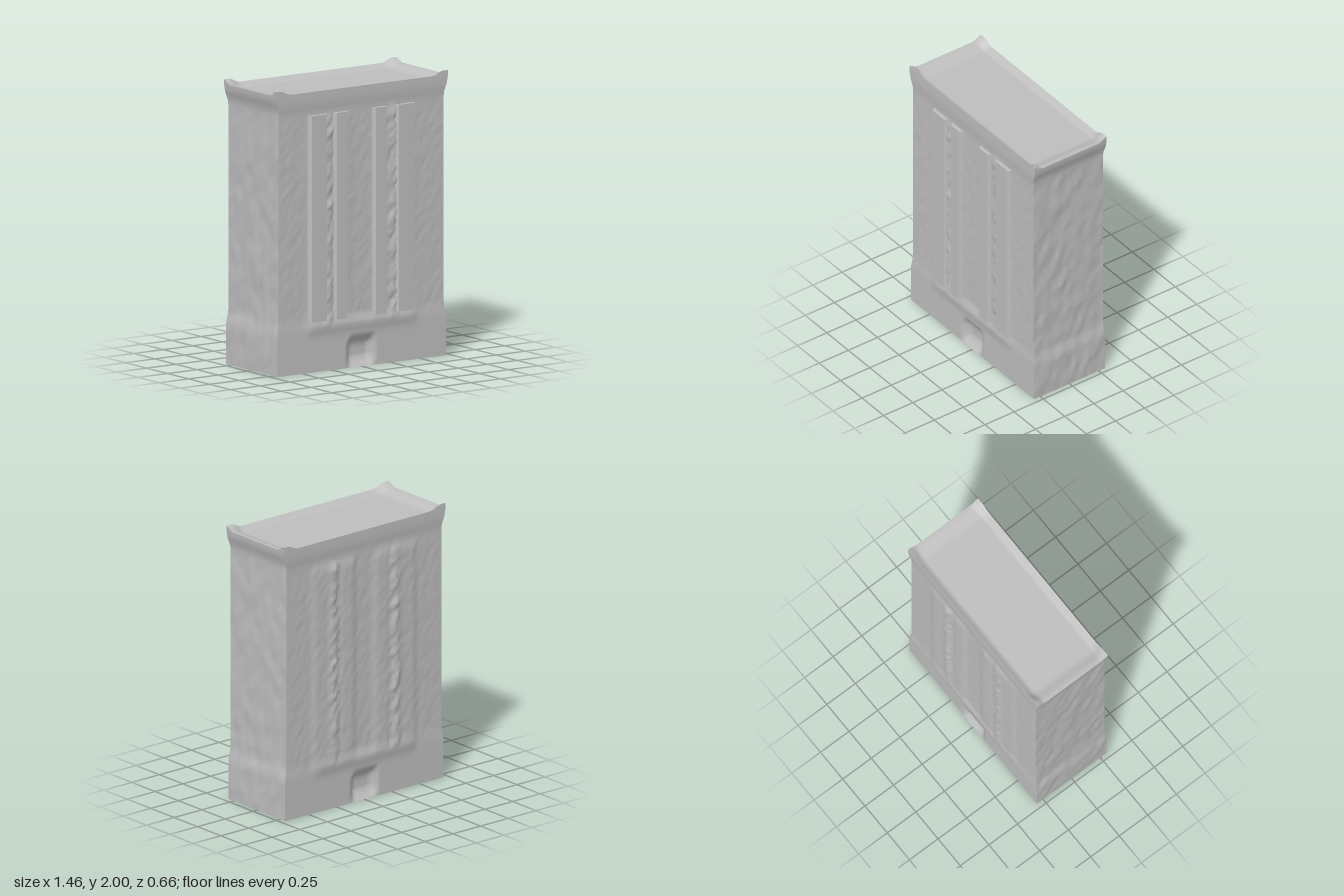
import * as THREE from 'three';

const stone = new THREE.MeshStandardMaterial({ color: 0xbebebe, side: THREE.DoubleSide });
stone.name = 'grey stone';

const smooth = (x, a, b) => THREE.MathUtils.smoothstep(x, a, b);
const hash = (a, b) => {
  const s = Math.sin(a * 127.1 + b * 311.7) * 43758.5453;
  return s - Math.floor(s);
};
// 1 inside a..b, fading to 0 over f on both sides
const band = (x, a, b, f) => smooth(x, a - f, a) * (1 - smooth(x, b, b + f));

// Outline of the shell: plinth, shaft and flared cornice
const halfWidth = y => 0.7 + 0.015 * (1 - smooth(y, 0.28, 0.38)) + 0.03 * smooth(y, 1.84, 1.95);
const halfDepth = y => 0.298 + 0.006 * (1 - smooth(y, 0.28, 0.38)) + 0.008 * smooth(y, 1.82, 1.9);
// Raised roof corners
const lift = (x, z) => 0.03 * smooth(Math.abs(x), 0.6, 0.69) * smooth(Math.abs(z), 0.25, 0.3);

const TOP = 1.97;

// Grid of u, v in -1..1 moved by a rule
function panel(name, nu, nv, rule) {
  const geo = new THREE.PlaneGeometry(2, 2, nu, nv);
  const pos = geo.attributes.position;
  for (let i = 0; i < pos.count; i++) {
    pos.setXYZ(i, ...rule(pos.getX(i), pos.getY(i)));
  }
  geo.computeVertexNormals();
  const mesh = new THREE.Mesh(geo, stone);
  mesh.name = name;
  return mesh;
}

// Weathered relief of the two broad walls, with the doorway sunk in
function broadRelief(x, y, seed, back) {
  const a = Math.abs(x);
  const shaft = band(y, 0.36, 1.76, 0.04);
  const n = hash(Math.round(x * 200) + seed, Math.round(y * 200));
  let d = shaft * band(a, 0, 0.66, 0.04) * (n - 0.5) * 0.005;
  d += shaft * band(a, 0.25, 0.29, 0.025) * (n * 0.02 + (back ? 0.005 : 0));
  d += shaft * band(a, 0.11, 0.2, 0.04) * (back ? 0.012 : 0.004);
  d += shaft * band(a, 0.3, 0.44, 0.04) * (back ? 0.01 : 0.002);
  d += band(y, 0.3, 0.33, 0.04) * band(a, 0, 0.4, 0.1) * 0.013;
  d -= band(x, -0.085, 0.08, 0.03) * band(y, 0.05, 0.17, 0.04) * 0.045;
  return d;
}

function broadWall(name, side) {
  return panel(name, 60, 64, (u, v) => {
    const y = (v + 1) / 2 * TOP;
    const x = u * side * halfWidth(y);
    const z = side * halfDepth(y);
    const d = broadRelief(x, y, side * 7, side < 0);
    return [x, y + lift(x, z) * smooth(y, 1.9, TOP), z + side * d];
  });
}

// Narrow walls carry rows of small rough blocks
function narrowWall(name, side) {
  return panel(name, 18, 56, (u, v) => {
    const y = (v + 1) / 2 * TOP;
    const z = -u * side * halfDepth(y);
    const x = side * halfWidth(y);
    const edge = band(u, -0.9, 0.9, 0.1) * band(y, 0.05, 1.78, 0.04);
    const col = Math.round((u + 1) * 9);
    const row = Math.round((v + 1) * 28);
    const n = hash(col + side * 5, Math.floor((row + col % 3) / 3)) - 0.5;
    return [x + side * edge * n * 0.013, y + lift(x, z) * smooth(y, 1.9, TOP), z];
  });
}

// Strip with chamfered sides, standing upright on the front wall
function pilaster(x0, x1) {
  const shape = new THREE.Shape();
  shape.moveTo(x0, -0.285);
  shape.lineTo(x1, -0.285);
  shape.lineTo(x1, -0.3);
  shape.lineTo(x1 - 0.018, -0.325);
  shape.lineTo(x0 + 0.018, -0.325);
  shape.lineTo(x0, -0.3);
  shape.closePath();
  const geo = new THREE.ExtrudeGeometry(shape, { depth: 1.45, bevelEnabled: false });
  geo.rotateX(-Math.PI / 2);
  geo.translate(0, 0.355, 0);
  const mesh = new THREE.Mesh(geo, stone);
  mesh.name = 'pilaster';
  return mesh;
}

export function createModel() {
  const group = new THREE.Group();
  group.name = 'building';

  group.add(broadWall('frontWall', 1), broadWall('backWall', -1));
  group.add(narrowWall('leftWall', 1), narrowWall('rightWall', -1));

  // Shallow dished roof inside the raised rim
  group.add(panel('roof', 60, 30, (u, v) => {
    const x = u * halfWidth(TOP);
    const z = -v * halfDepth(TOP);
    const dish = (1 - smooth(Math.abs(x), 0.62, 0.71)) * (1 - smooth(Math.abs(z), 0.265, 0.3));
    return [x, TOP + lift(x, z) - 0.03 * dish, z];
  }));

  for (const [x0, x1] of [[-0.455, -0.29], [-0.24, -0.115], [0.09, 0.215], [0.285, 0.45]]) {
    group.add(pilaster(x0, x1));
  }
  return group;
}
